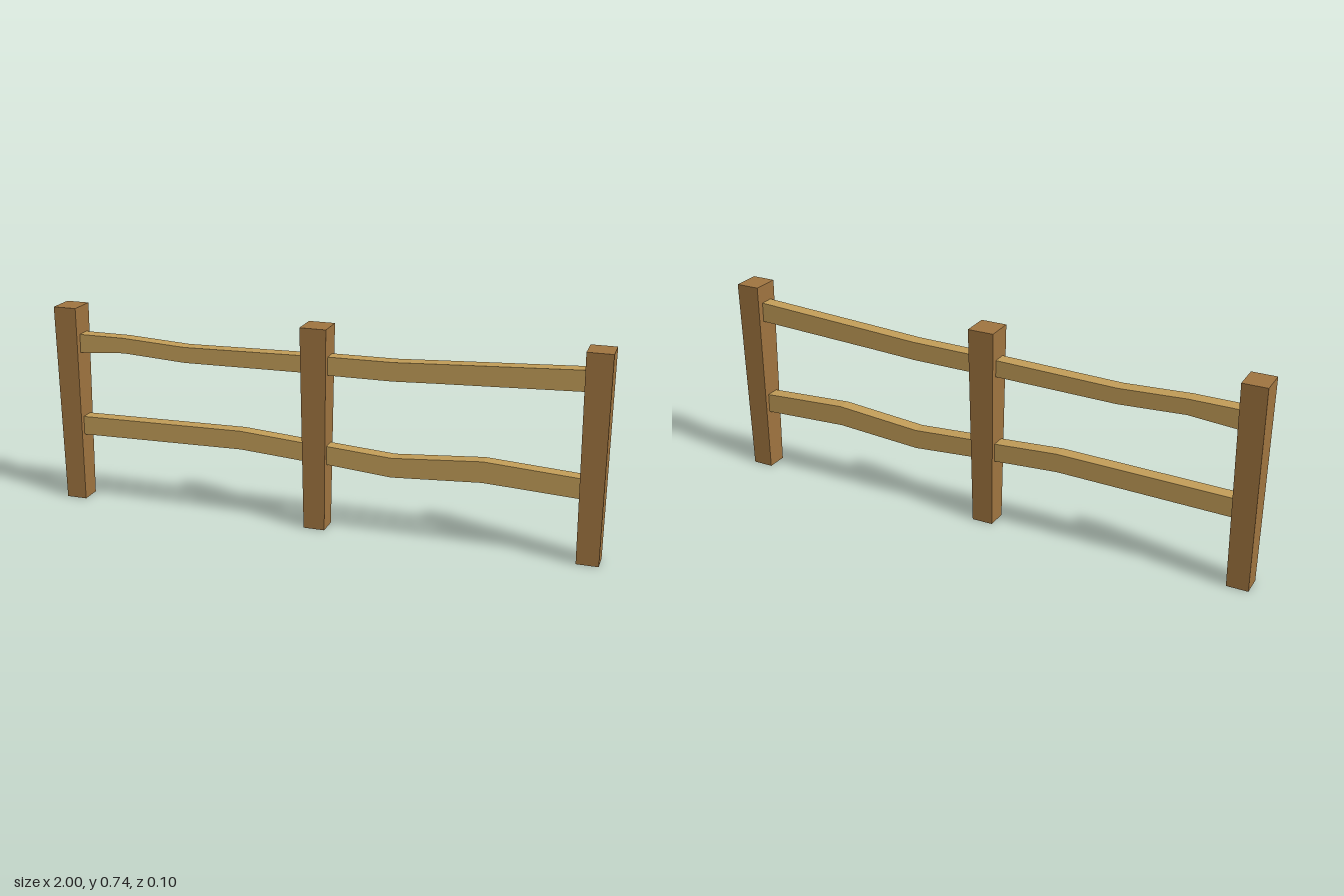
import * as THREE from 'three';

const H = 0.742;

// Solid side outline pushed through the given depth, centred on z = 0
function slab(outline, depth) {
  const shape = new THREE.Shape(outline.map(([x, y]) => new THREE.Vector2(x, y)));
  const geo = new THREE.ExtrudeGeometry(shape, { depth, bevelEnabled: false });
  return geo.translate(0, 0, -depth / 2);
}

export function createModel() {
  const postWood = new THREE.MeshStandardMaterial({ color: 0xa07540 });
  postWood.name = 'post wood';
  const railWood = new THREE.MeshStandardMaterial({ color: 0xc29d58 });
  railWood.name = 'rail wood';

  const fence = new THREE.Group();
  fence.name = 'fence';
  const add = (name, geo, material) => {
    const mesh = new THREE.Mesh(geo, material);
    mesh.name = name;
    fence.add(mesh);
  };

  // Posts, wider at the top: x of bottom left, bottom right, top right, top left
  const posts = {
    rightPost: [-1, -0.923, -0.913, -1],
    middlePost: [-0.048, 0.03, 0.039, -0.056],
    leftPost: [0.923, 1, 1, 0.912],
  };
  for (const [name, [b0, b1, t1, t0]] of Object.entries(posts)) {
    const geo = slab([[b0, 0], [b1, 0], [t1, H], [t0, H]], 0.1);
    // Taper the depth towards the ground
    const p = geo.attributes.position;
    for (let i = 0; i < p.count; i++) {
      if (p.getY(i) < 0.01) p.setZ(i, p.getZ(i) * 0.77);
    }
    geo.computeVertexNormals();
    add(name, geo, postWood);
  }

  // Crooked rails, as stations of x, bottom and top height
  const rails = {
    upperRightRail: [[-0.925, 0.57, 0.64], [-0.74, 0.584, 0.64], [-0.5, 0.57, 0.627], [-0.045, 0.576, 0.637]],
    lowerRightRail: [[-0.93, 0.254, 0.324], [-0.29, 0.266, 0.335], [-0.04, 0.249, 0.317]],
    upperLeftRail: [[0.025, 0.574, 0.64], [0.27, 0.575, 0.642], [0.42, 0.582, 0.65], [0.925, 0.603, 0.676]],
    lowerLeftRail: [[0.025, 0.247, 0.315], [0.27, 0.227, 0.298], [0.59, 0.247, 0.323], [0.93, 0.23, 0.302]],
  };
  for (const [name, stations] of Object.entries(rails)) {
    const bottom = stations.map(([x, y]) => [x, y]);
    const top = stations.map(([x, , y]) => [x, y]).reverse();
    add(name, slab([...bottom, ...top], 0.05), railWood);
  }
  return fence;
}
